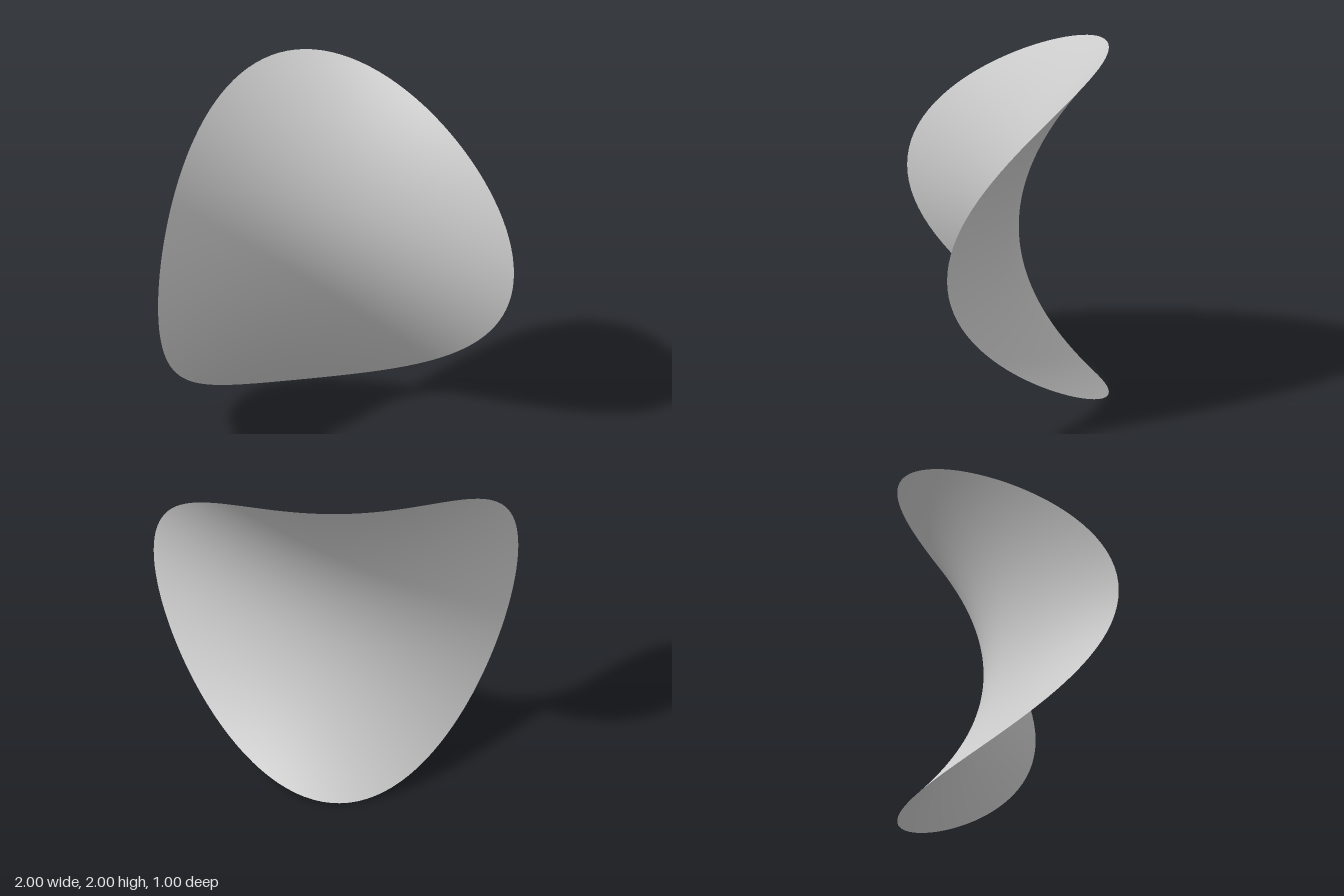
import * as THREE from 'three';

// Hyperbolic paraboloid over a unit disc: z = (x² - y²) / 2
function saddleGeometry(around = 128, rings = 40) {
  const geometry = new THREE.RingGeometry(0, 1, around, rings);
  const position = geometry.attributes.position;
  const normal = geometry.attributes.normal;
  const n = new THREE.Vector3();
  for (let i = 0; i < position.count; i++) {
    const x = position.getX(i);
    const y = position.getY(i);
    position.setZ(i, (x * x - y * y) / 2);
    // Exact surface normal keeps the shading smooth everywhere
    n.set(-x, y, 1).normalize();
    normal.setXYZ(i, n.x, n.y, n.z);
  }
  return geometry;
}

export function createModel() {
  const group = new THREE.Group();
  group.name = 'saddle';

  // Thin curved sheet, seen from both sides
  const sheet = new THREE.Mesh(
    saddleGeometry(),
    new THREE.MeshStandardMaterial({ color: 0xcccccc, side: THREE.DoubleSide })
  );
  sheet.name = 'saddleSurface';
  sheet.position.y = 1;
  group.add(sheet);

  return group;
}
